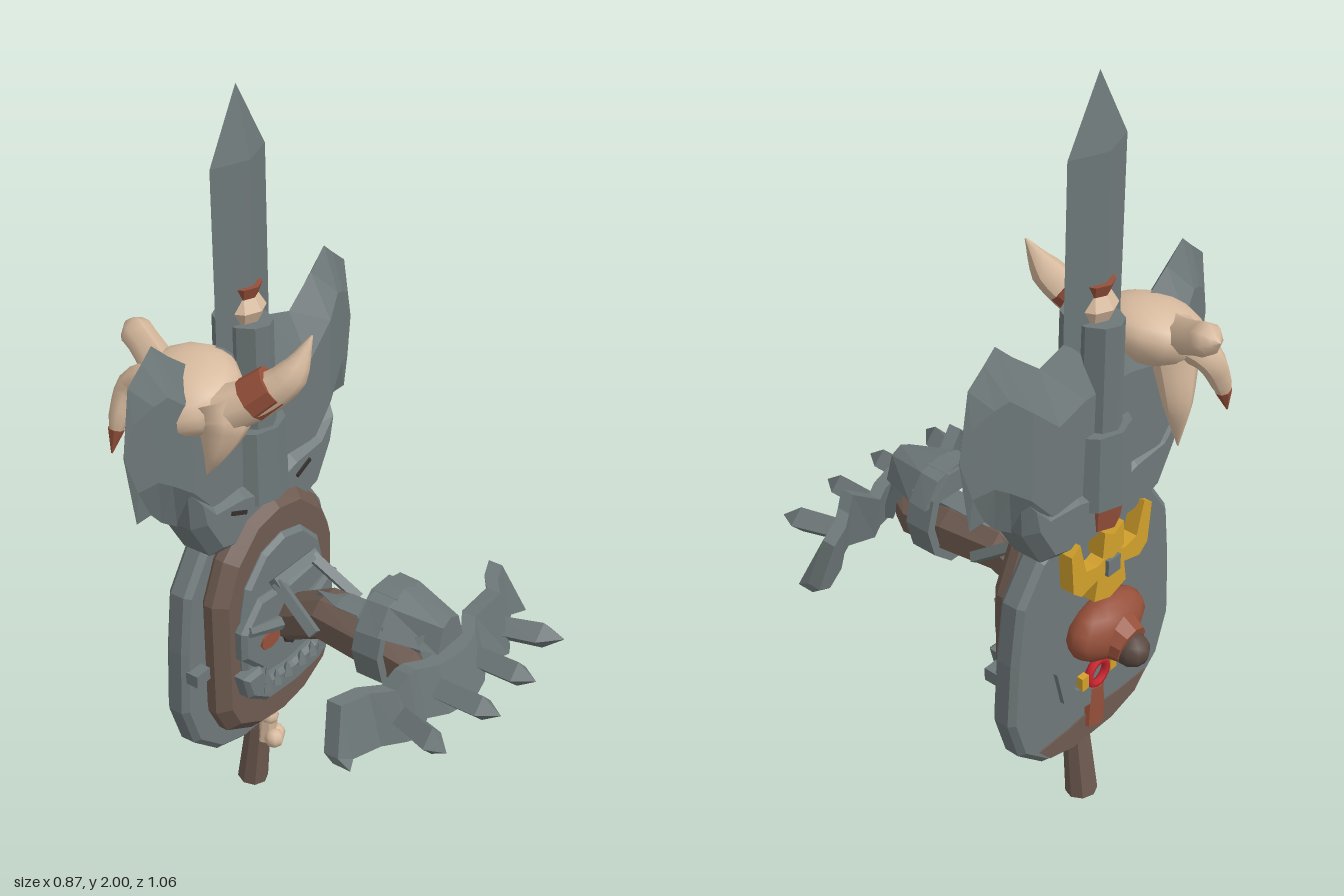
import * as THREE from 'three';

const V = (x, y, z) => new THREE.Vector3(x, y, z);
const mat = (name, color) => {
  const m = new THREE.MeshStandardMaterial({ color });
  m.name = name;
  return m;
};

// give every face its own normal
function flat(g) {
  const n = g.index ? g.toNonIndexed() : g;
  n.computeVertexNormals();
  return n;
}

// skin a row of equal-length loops and close both ends
function loft(loops) {
  const n = loops[0].length, pos = loops.flat(2), idx = [];
  for (let i = 0; i < loops.length - 1; i++) for (let j = 0; j < n; j++) {
    const a = i * n + j, b = i * n + (j + 1) % n;
    idx.push(a, b, b + n, a, b + n, a + n);
  }
  const e = (loops.length - 1) * n;
  for (let j = 1; j < n - 1; j++) idx.push(0, j + 1, j, e, e + j, e + j + 1);
  const g = new THREE.BufferGeometry();
  g.setAttribute('position', new THREE.Float32BufferAttribute(pos, 3));
  g.setIndex(idx);
  return flat(g);
}

// symmetric plate from its right half outline, between z0 and z1
function plate(half, z0, z1, bevel = 0) {
  const pts = [...half, ...half.filter(p => p[0] !== 0).reverse().map(([x, y]) => [-x, y])];
  const shape = new THREE.Shape(pts.map(([x, y]) => new THREE.Vector2(x, y)));
  const g = new THREE.ExtrudeGeometry(shape, {
    depth: z1 - z0 - 2 * bevel, bevelEnabled: bevel > 0, bevelSize: bevel,
    bevelOffset: -bevel, bevelThickness: bevel, bevelSegments: 1,
  });
  return flat(g.translate(0, 0, z0 + bevel));
}

// curved tapering tube
function horn(points, radii, sides = 8, segs = 12) {
  const curve = new THREE.CatmullRomCurve3(points.map(p => V(...p)));
  const g = new THREE.TubeGeometry(curve, segs, 1, sides);
  const p = g.attributes.position, v = V(0, 0, 0);
  for (let i = 0; i < p.count; i++) {
    const t = Math.floor(i / (sides + 1)) / segs, f = t * (radii.length - 1);
    const k = Math.min(Math.floor(f), radii.length - 2);
    const r = THREE.MathUtils.lerp(radii[k], radii[k + 1], f - k), c = curve.getPointAt(t);
    v.fromBufferAttribute(p, i).sub(c).multiplyScalar(r).add(c);
    p.setXYZ(i, v.x, v.y, v.z);
  }
  g.computeVertexNormals();
  return g;
}

// straight cylinder between two points
function rod(a, b, ra, rb = ra, sides = 8) {
  const A = V(...a), B = V(...b), d = B.clone().sub(A);
  const g = new THREE.CylinderGeometry(rb, ra, d.length(), sides);
  g.applyQuaternion(new THREE.Quaternion().setFromUnitVectors(V(0, 1, 0), d.normalize()));
  return flat(g.translate(...A.add(B).multiplyScalar(0.5).toArray()));
}

// mirror a list of [x, ...] sections across x = 0
const mirrored = half => [...half.slice(1).reverse().map(([x, ...r]) => [-x, ...r]), ...half];

export function createModel() {
  const root = new THREE.Group();
  const metal = mat('steel', 0x6e7879), wood = mat('wood', 0x6d5a50), bone = mat('bone', 0xd6b99d);
  const leather = mat('leather', 0x96503a), gold = mat('gold', 0xd2a02c), red = mat('red', 0xc8242e);
  const cap = mat('darkWood', 0x594840), dark = mat('darkHollow', 0x35302e);
  const add = (name, g, m) => {
    const mesh = new THREE.Mesh(g, m);
    mesh.name = name;
    root.add(mesh);
    return mesh;
  };
  const Z = -0.275;

  // top blade
  add('topBlade', loft([[1.3, 0.1, 0.035], [1.83, 0.1, 0.035], [2, 0.001, 0.001]].map(([y, w, d]) =>
    [[0, y, Z + d], [w, y, Z], [0, y, Z - d], [-w, y, Z]])), metal);

  // double axe head: x, top, bottom, half thickness
  const axe = mirrored([[0, 1.4, 0.85, 0.05], [0.08, 1.4, 0.85, 0.052], [0.18, 1.37, 0.87, 0.06], [0.27, 1.44, 0.98, 0.06],
    [0.325, 1.49, 1.02, 0.042], [0.36, 1.46, 1.06, 0.03], [0.41, 1.42, 1.06, 0.011], [0.437, 1.26, 1.24, 0.001]]);
  add('axeHead', loft(axe.map(([x, t, b, h]) => {
    const k = (t - b) * 0.25;
    return [[x, t, Z], [x, t - k, Z + h], [x, b + k, Z + h], [x, b, Z], [x, b + k, Z - h], [x, t - k, Z - h]];
  })), metal);

  // socket and horned collar
  add('axeTube', rod([0, 1.1, 0], [0, 1.43, 0], 0.062, 0.06, 10).scale(1, 1, 1.35).translate(0, 0, Z), metal);
  add('axeSocket', rod([0, 0.96, Z], [0, 1.16, Z], 0.103, 0.098, 10), metal);
  add('hornedCollar', plate([[0, 1.0], [0.1, 1.03], [0.2, 1.04], [0.28, 1.1], [0.275, 0.99], [0.21, 0.88], [0.1, 0.85], [0, 0.85]],
    Z - 0.065, Z + 0.075, 0.03), metal);
  for (const s of [-1, 1]) {
    const eye = add('collarEye', new THREE.BoxGeometry(0.06, 0.01, 0.008), dark);
    eye.position.set(s * 0.13, 0.975, Z + 0.076);
    eye.rotation.z = s * 0.4;
  }
  add('boneCollar', rod([0, 1.43, Z], [0, 1.46, Z], 0.045, 0.058), bone);
  add('boneCollarTop', rod([0, 1.46, Z], [0, 1.49, Z], 0.058, 0.04), bone);
  add('leatherCap', rod([0, 1.48, Z], [0, 1.52, Z], 0.035, 0.05), leather);

  // handle
  add('handle', rod([0, 0.2, -0.265], [0, 0.95, Z], 0.035), wood);
  add('handleGrip', rod([0, 0.01, -0.287], [0, 0.21, -0.262], 0.042, 0.034), wood);
  add('gripBone', rod([0, 0.17, -0.235], [0, 0.3, -0.225], 0.028, 0.025), bone);
  for (const [x, y, z] of [[-0.012, 0.19, -0.2], [0.014, 0.185, -0.215], [0, 0.25, -0.225]])
    add('boneKnuckle', new THREE.SphereGeometry(0.027, 8, 6).translate(x, y, z), bone);

  // shield
  add('shieldRim', plate([[0, 0.94], [0.12, 0.93], [0.21, 0.88], [0.28, 0.78], [0.3, 0.62], [0.31, 0.44], [0.27, 0.32],
    [0.18, 0.24], [0.08, 0.21], [0, 0.21]], -0.315, -0.245, 0.015), metal);
  add('shieldWood', plate([[0, 0.96], [0.1, 0.94], [0.19, 0.86], [0.24, 0.75], [0.24, 0.42], [0.2, 0.34], [0.1, 0.285],
    [0, 0.27]], -0.26, -0.175, 0.03), wood);
  add('shieldBackWood', plate([[0, 0.31], [0.1, 0.3], [0.21, 0.3], [0.17, 0.255], [0.075, 0.228], [0, 0.228]], -0.319, -0.31), wood);
  add('shieldBoss', plate([[0, 0.86], [0.08, 0.84], [0.15, 0.77], [0.18, 0.65], [0.17, 0.5], [0.1, 0.43], [0, 0.42]],
    -0.19, -0.16, 0.012), metal);
  for (const s of [-1, 1])
    add('rimBracket', new THREE.BoxGeometry(0.05, 0.035, 0.05).translate(s * 0.27, 0.55, -0.24), metal);

  // fanged face on the shield
  add('faceJaw', plate([[0, 0.47], [0.09, 0.48], [0.13, 0.53], [0.2, 0.53], [0.18, 0.46], [0.11, 0.41], [0, 0.4]],
    -0.19, -0.135, 0.012), metal);
  add('faceUpper', plate([[0, 0.72], [0.12, 0.73], [0.19, 0.66], [0.19, 0.58], [0.12, 0.51], [0.05, 0.5], [0, 0.5]],
    -0.19, -0.145, 0.012), metal);
  add('nose', plate([[0, 0.58], [0.04, 0.585], [0.03, 0.55], [0, 0.53]], -0.148, -0.14), dark);
  for (const s of [-1, 1]) {
    add('faceEye', new THREE.CylinderGeometry(0.035, 0.035, 0.008, 8).rotateX(Math.PI / 2).scale(1.1, 0.7, 1)
      .translate(s * 0.09, 0.595, -0.143), leather);
    add('brow', rod([s * 0.03, 0.62, -0.14], [s * 0.17, 0.66, -0.15], 0.022, 0.015, 6), metal);
    for (const [x, h] of [[0.03, 0.03], [0.075, 0.03], [0.115, 0.06]])
      add('fang', rod([s * x, 0.45, -0.138], [s * x, 0.46 + h, -0.138], 0.018, 0.001, 5), metal);
  }

  // wooden arm: z, half width, bottom, top
  add('arm', loft([[-0.18, 0.05, 0.55, 0.65], [-0.13, 0.055, 0.56, 0.68], [-0.03, 0.065, 0.61, 0.73], [0.13, 0.08, 0.6, 0.73],
    [0.26, 0.075, 0.59, 0.7], [0.31, 0.05, 0.61, 0.7]].map(([z, w, b, t]) => {
    const c = (t - b) * 0.25;
    return [[w, b + c, z], [w, t - c, z], [w * 0.5, t, z], [-w * 0.5, t, z], [-w, t - c, z], [-w, b + c, z], [-w * 0.5, b, z], [w * 0.5, b, z]];
  })), wood);
  add('armRidge', loft([[-0.06, 0.002, 0.73], [0.02, 0.035, 0.742], [0.33, 0.035, 0.742]].map(([z, w, t]) =>
    [[w, 0.7, z], [w, t - 0.01, z], [0, t, z], [-w, t - 0.01, z], [-w, 0.7, z]])), metal);

  // arm clamp with tapering visor
  const ring = new THREE.Shape();
  ring.absellipse(0, 0.7, 0.12, 0.14, 0, Math.PI * 2);
  const hole = new THREE.Path();
  hole.absellipse(0, 0.7, 0.095, 0.112, 0, Math.PI * 2, true);
  ring.holes.push(hole);
  add('armClamp', flat(new THREE.ExtrudeGeometry(ring, { depth: 0.075, bevelEnabled: false, curveSegments: 5 }).translate(0, 0, 0.13)), metal);
  add('clampVisor', loft([[0.14, 0.118, 0.84], [0.2, 0.112, 0.84], [0.335, 0.055, 0.815]].map(([z, w, t]) =>
    [[w, t - 0.08, z], [w * 0.6, t - 0.015, z], [0, t, z], [-w * 0.6, t - 0.015, z], [-w, t - 0.08, z],
      [-w * 0.55, t - 0.045, z], [0, t - 0.03, z], [w * 0.55, t - 0.045, z]])), metal);
  for (const s of [-1, 1]) {
    add('visorStrut', rod([s * 0.045, 0.62, 0.35], [s * 0.05, 0.77, 0.28], 0.025, 0.02, 4), metal);
    add('carryFrameSide', rod([s * 0.072, 0.765, -0.13], [s * 0.094, 0.675, 0], 0.018, 0.018, 4), metal);
  }
  add('carryFrameBar', rod([-0.085, 0.765, -0.13], [0.085, 0.765, -0.13], 0.018, 0.018, 4), metal);

  // spiked ram bar: x, z, bottom, top
  const ram = mirrored([[0, 0.375, 0.6, 0.735], [0.08, 0.355, 0.6, 0.73], [0.13, 0.325, 0.605, 0.735], [0.2, 0.35, 0.605, 0.775],
    [0.23, 0.335, 0.605, 0.74], [0.28, 0.295, 0.605, 0.745], [0.35, 0.265, 0.6, 0.74], [0.39, 0.285, 0.6, 0.62]]);
  add('ramBar', loft(ram.map(([x, z, b, t]) =>
    [[x, t, z - 0.04], [x, t, z], [x, b, z + 0.035], [x, b, z - 0.015]])), metal);

  // diamond spikes along the bar: x, z, radius
  for (const s of [-1, 1]) for (const path of [[[0.08, 0.36, 0.035], [0.08, 0.48, 0.036], [0.08, 0.53, 0.001]],
    [[0.215, 0.34, 0.035], [0.25, 0.45, 0.038], [0.266, 0.5, 0.001]]])
    add('spike', loft(path.map(([x, z, r]) =>
      [[s * x + r, 0.66, z], [s * x, 0.66 + r, z], [s * x - r, 0.66, z], [s * x, 0.66 - r, z]])), metal);

  // beast skull hung over the axe
  const skull = new THREE.SphereGeometry(1, 14, 10).scale(0.135, 0.082, 0.135);
  add('beastSkull', skull.rotateZ(0.35).translate(-0.195, 1.315, -0.29), bone);
  add('skullCheek', horn([[-0.2, 1.33, -0.2], [-0.2, 1.28, -0.18], [-0.225, 1.21, -0.18], [-0.24, 1.14, -0.2]],
    [0.07, 0.065, 0.032, 0.002]), bone);
  add('frontHorn', horn([[-0.2, 1.3, -0.18], [-0.16, 1.345, -0.1], [-0.125, 1.4, -0.04], [-0.08, 1.495, -0.01]],
    [0.06, 0.05, 0.038, 0.002]), bone);
  add('hornBand', rod([-0.172, 1.335, -0.12], [-0.145, 1.375, -0.075], 0.055, 0.051, 10), leather);
  add('backSnout', horn([[-0.19, 1.33, -0.36], [-0.16, 1.36, -0.43], [-0.14, 1.385, -0.49], [-0.13, 1.395, -0.53]],
    [0.06, 0.045, 0.042, 0.04, 0.042, 0], 7), bone);
  add('backHorn', horn([[-0.2, 1.32, -0.37], [-0.215, 1.29, -0.44], [-0.25, 1.22, -0.455], [-0.28, 1.13, -0.46]],
    [0.05, 0.036, 0.026, 0.002]), bone);
  add('backHornTip', rod([-0.263, 1.185, -0.458], [-0.281, 1.125, -0.461], 0.021, 0.002), leather);
  add('backFang', horn([[-0.2, 1.28, -0.36], [-0.18, 1.17, -0.39], [-0.2, 1.03, -0.385]], [0.06, 0.035, 0.002]), bone);

  // gold emblem on the back
  add('emblemWings', plate([[0, 0.82], [0.05, 0.8], [0.095, 0.81], [0.12, 0.9], [0.15, 0.88], [0.14, 0.77], [0.11, 0.745], [0.05, 0.76],
    [0.06, 0.7], [0, 0.68]], -0.355, -0.31), gold);
  add('emblemCrest', plate([[0, 0.87], [0.035, 0.89], [0.04, 0.82], [0, 0.8]], -0.36, -0.31), gold);
  add('emblemStud', new THREE.BoxGeometry(0.045, 0.045, 0.02).translate(0, 0.78, -0.355), metal);
  add('leatherWrap', rod([0, 0.89, -0.3], [0, 0.96, -0.3], 0.06, 0.07), leather);

  // leather flask
  add('flask', new THREE.SphereGeometry(1, 12, 8).scale(0.13, 0.085, 0.068).translate(0, 0.595, -0.345), leather);
  add('flaskNeck', rod([0, 0.585, -0.36], [0, 0.57, -0.425], 0.075, 0.052, 10), leather);
  add('flaskStopper', new THREE.SphereGeometry(0.045, 9, 7).translate(0, 0.558, -0.428), cap);

  // lower crescent, ring and binding on the back
  add('backCrescent', plate([[0, 0.4], [0.08, 0.42], [0.16, 0.52], [0.13, 0.41], [0.06, 0.35], [0, 0.34]], -0.328, -0.31), metal);
  add('bindingSleeve', rod([0, 0.27, -0.298], [0, 0.39, -0.302], 0.042, 0.036), leather);
  add('redRing', new THREE.TorusGeometry(0.034, 0.011, 6, 14).translate(0, 0.43, -0.325), red);
  for (const s of [-1, 1])
    add('goldClasp', new THREE.BoxGeometry(0.025, 0.04, 0.03).translate(s * 0.055, 0.43, -0.318), gold);
  return root;
}
